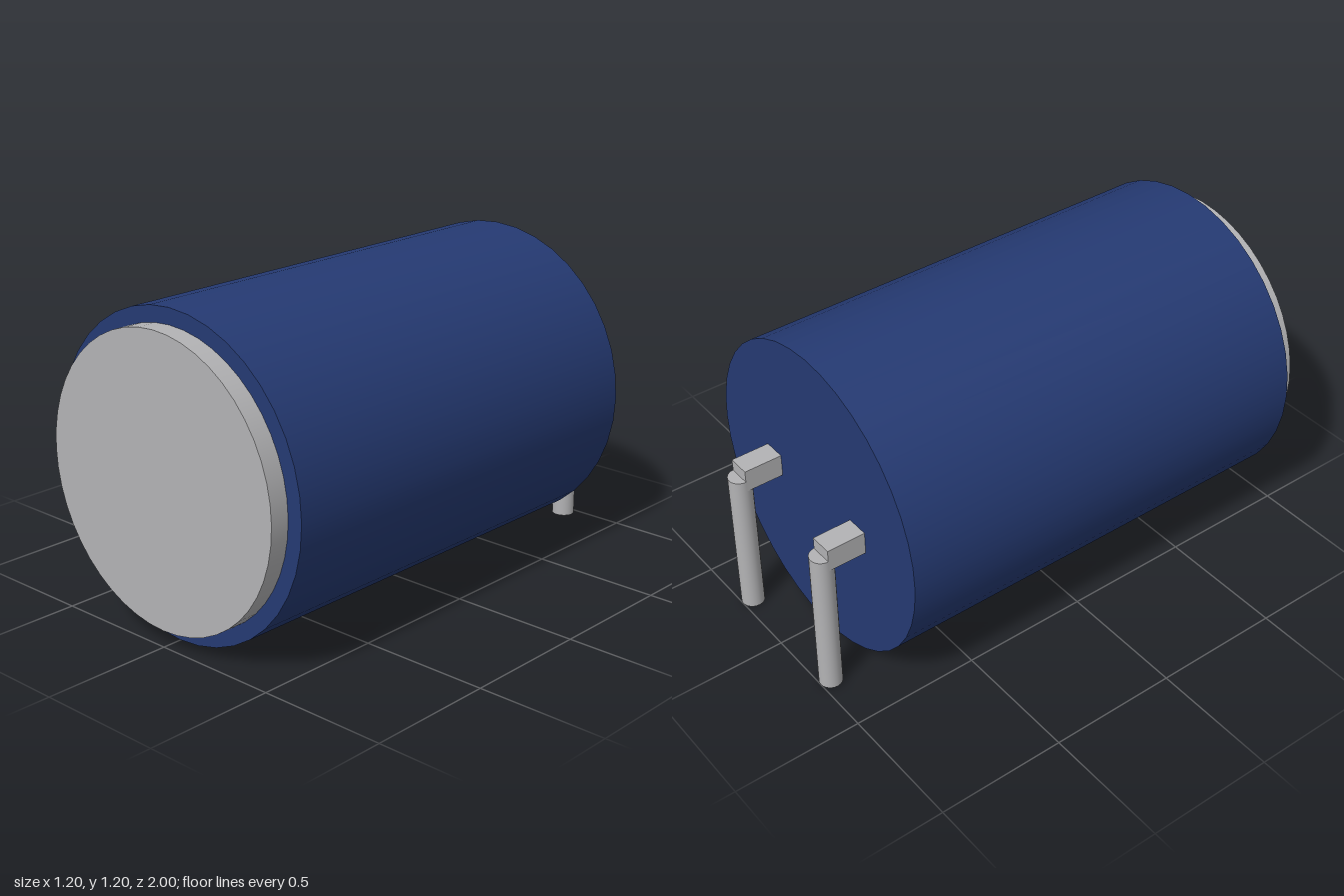
import * as THREE from 'three';

export function createModel() {
  const model = new THREE.Group();
  const material = (name, color) => {
    const m = new THREE.MeshStandardMaterial({ color });
    m.name = name;
    return m;
  };
  const blue = material('blue sleeve', 0x253a73);
  const metal = material('grey metal', 0xb3b3b5);

  const add = (parent, name, geometry, mat, x, y, z) => {
    const mesh = new THREE.Mesh(geometry, mat);
    mesh.name = name;
    mesh.position.set(x, y, z);
    parent.add(mesh);
  };

  // Cylinder lying along z between two depths
  const barrel = (name, radius, back, front, sides, mat) => {
    const geometry = new THREE.CylinderGeometry(radius, radius, front - back, sides);
    geometry.rotateX(Math.PI / 2);
    add(model, name, geometry, mat, 0, 0.602, (back + front) / 2);
  };
  barrel('sleeve', 0.6, -0.805, 0.925, 40, blue);
  barrel('endCap', 0.54, 0.9, 1, 48, metal);

  // Bent leads: a square stub out of the back and a round pin going down
  for (const [name, x] of [['leftLead', 0.264], ['rightLead', -0.264]]) {
    const lead = new THREE.Group();
    lead.name = name;
    lead.position.x = x;
    add(lead, 'stub', new THREE.BoxGeometry(0.088, 0.09, 0.166), metal, 0, 0.604, -0.873);
    add(lead, 'pin', new THREE.CylinderGeometry(0.044, 0.044, 0.602, 24), metal, 0, 0.301, -0.956);
    model.add(lead);
  }
  return model;
}
